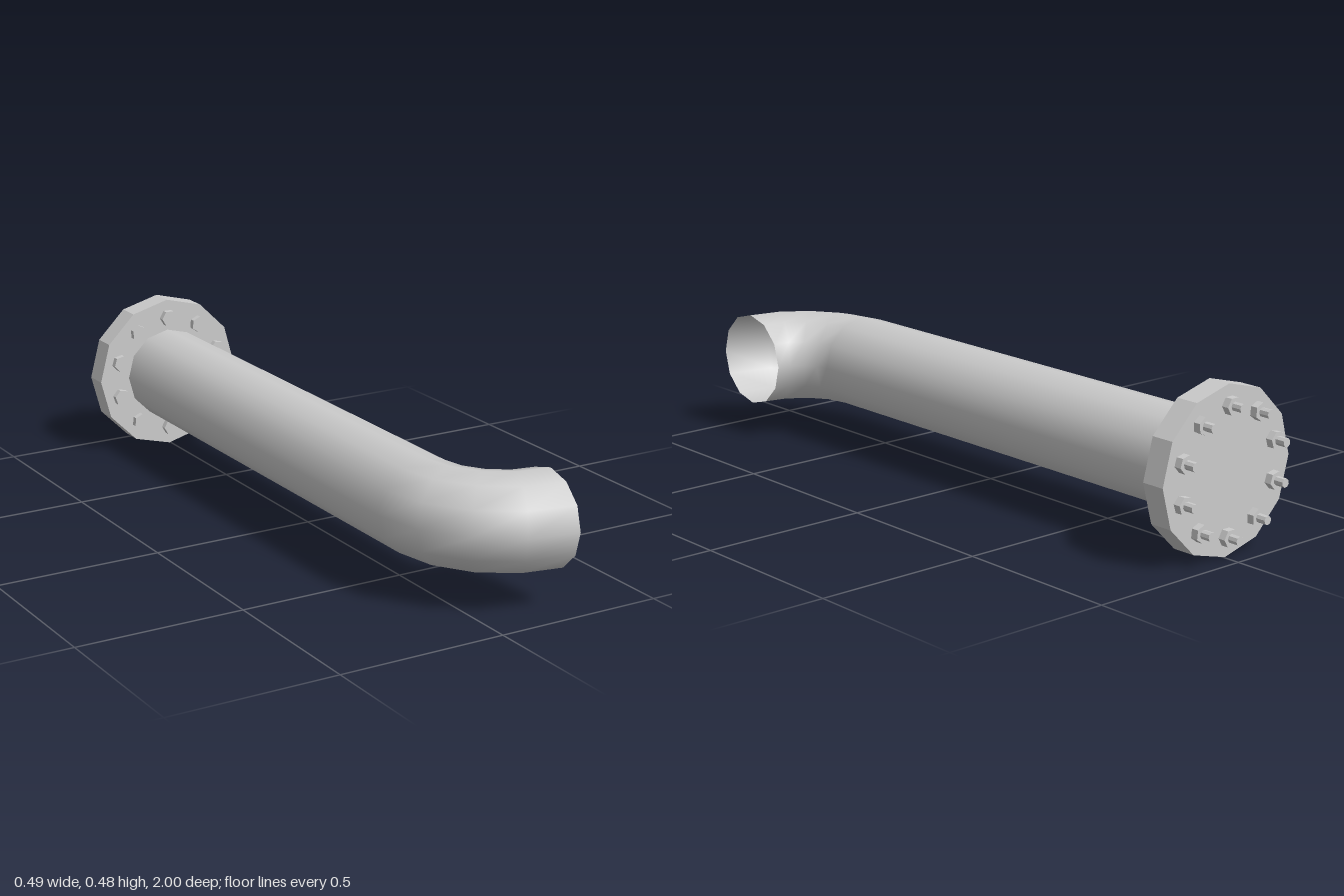
import * as THREE from 'three';

const CX = -0.004, CY = 0.242;   // pipe axis
const PIPE_R = 0.141;
const BEND_R = 0.247, BEND_Z = 0.612;
const FLANGE_FRONT = -0.875, FLANGE_BACK = -0.947;

const smooth = new THREE.MeshStandardMaterial({ color: 0xcccccc, side: THREE.DoubleSide });
const flat = new THREE.MeshStandardMaterial({ color: 0xcccccc, flatShading: true });

// Prism along z between two depths, with a corner on the +x axis
function prism(name, radius, sides, z0, z1, material, open = false) {
  const geo = new THREE.CylinderGeometry(radius, radius, Math.abs(z1 - z0), sides, 1, open, Math.PI / 2);
  geo.rotateX(Math.PI / 2);
  const mesh = new THREE.Mesh(geo, material);
  mesh.name = name;
  mesh.position.z = (z0 + z1) / 2;
  return mesh;
}

export function createModel() {
  const model = new THREE.Group();
  model.name = 'flangedPipe';

  const body = new THREE.Group();
  body.name = 'pipeAssembly';
  body.position.set(CX, CY, 0);
  model.add(body);

  // Straight run
  body.add(prism('straightPipe', PIPE_R, 12, FLANGE_FRONT, BEND_Z, smooth, true));

  // Quarter elbow turning towards +x, open at its end
  const elbowGeo = new THREE.TorusGeometry(BEND_R, PIPE_R, 12, 4, Math.PI / 2);
  elbowGeo.rotateX(Math.PI / 2).rotateY(-Math.PI / 2);
  const elbow = new THREE.Mesh(elbowGeo, smooth);
  elbow.name = 'elbow';
  elbow.position.set(BEND_R, 0, BEND_Z);
  body.add(elbow);

  // End flange
  body.add(prism('flange', 0.24, 12, FLANGE_FRONT, FLANGE_BACK, flat));

  // Ring of bolts: head in front, nut and threaded end behind
  const boltCount = 10;
  for (let i = 0; i < boltCount; i++) {
    const angle = (i / boltCount) * Math.PI * 2;
    const bolt = new THREE.Group();
    bolt.name = 'bolt' + (i + 1);
    bolt.add(
      prism('boltHead', 0.026, 6, FLANGE_FRONT, -0.857, flat),
      prism('nut', 0.026, 6, FLANGE_BACK, -0.969, flat),
      prism('boltShank', 0.013, 8, -0.96, -1, flat)
    );
    bolt.position.set(-Math.sin(angle) * 0.182, Math.cos(angle) * 0.182, 0);
    bolt.rotation.z = angle;
    body.add(bolt);
  }

  return model;
}
